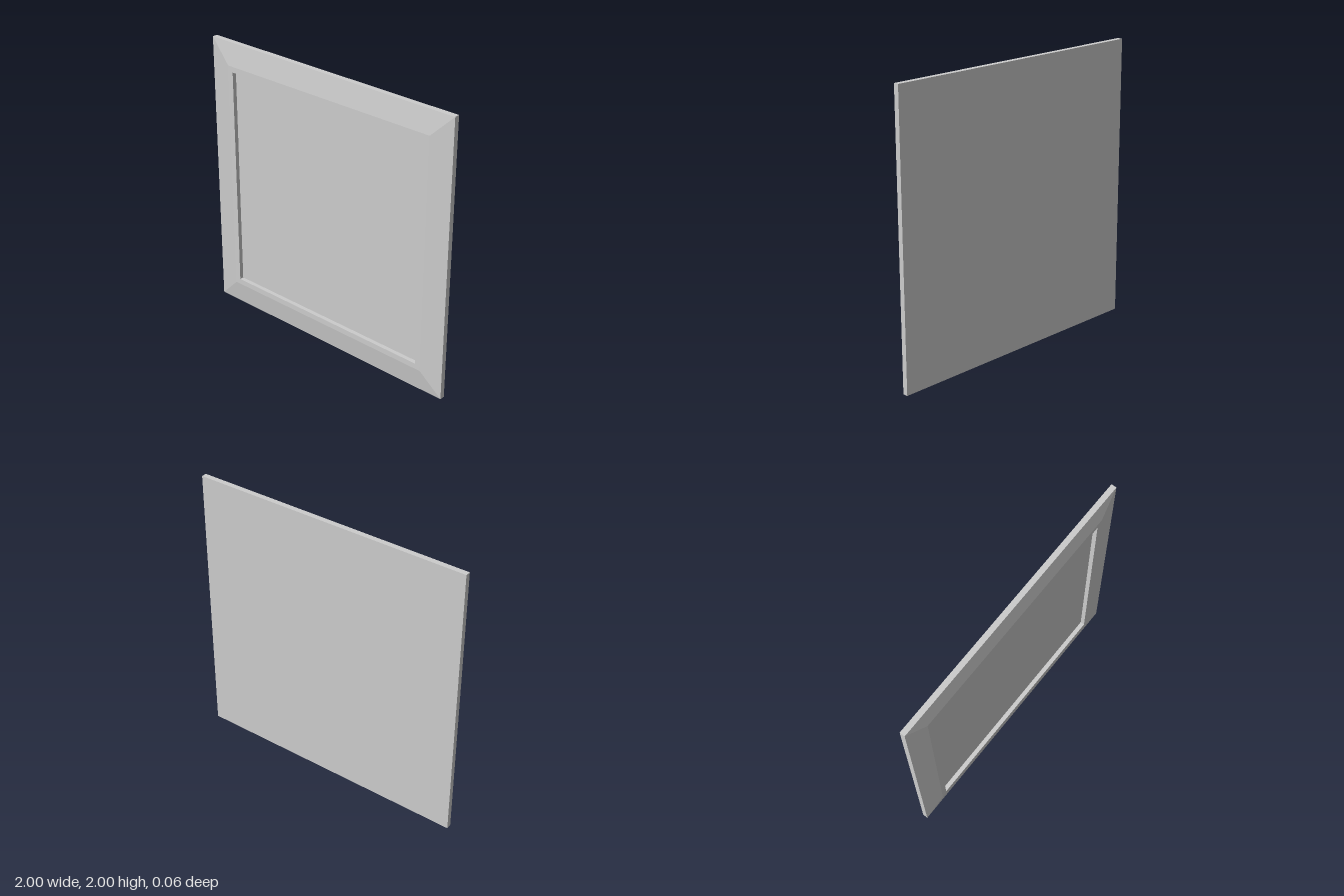
import * as THREE from 'three';

export function createModel() {
  const group = new THREE.Group();
  const material = new THREE.MeshStandardMaterial({ color: 0xcccccc, flatShading: true });

  // Square frame with a closed back: [half width, z] profile turned in four sides
  const profile = [
    [0, -0.03], [1, -0.03], [1, 0.007], // back and outer edge
    [0.84, 0.03], [0.8, 0.03],          // bevel and flat lip
    [0.8, 0],                           // recess wall
  ].map(([r, z]) => new THREE.Vector2(r * Math.SQRT2, z));
  const frameGeometry = new THREE.LatheGeometry(profile, 4, Math.PI / 4);
  frameGeometry.rotateX(Math.PI / 2);
  const frame = new THREE.Mesh(frameGeometry, material);
  frame.name = 'bevelledFrame';
  frame.position.y = 1;
  group.add(frame);

  // Recessed front panel
  const panel = new THREE.Mesh(new THREE.PlaneGeometry(1.6, 1.6), material);
  panel.name = 'recessedPanel';
  panel.position.y = 1;
  group.add(panel);

  return group;
}
